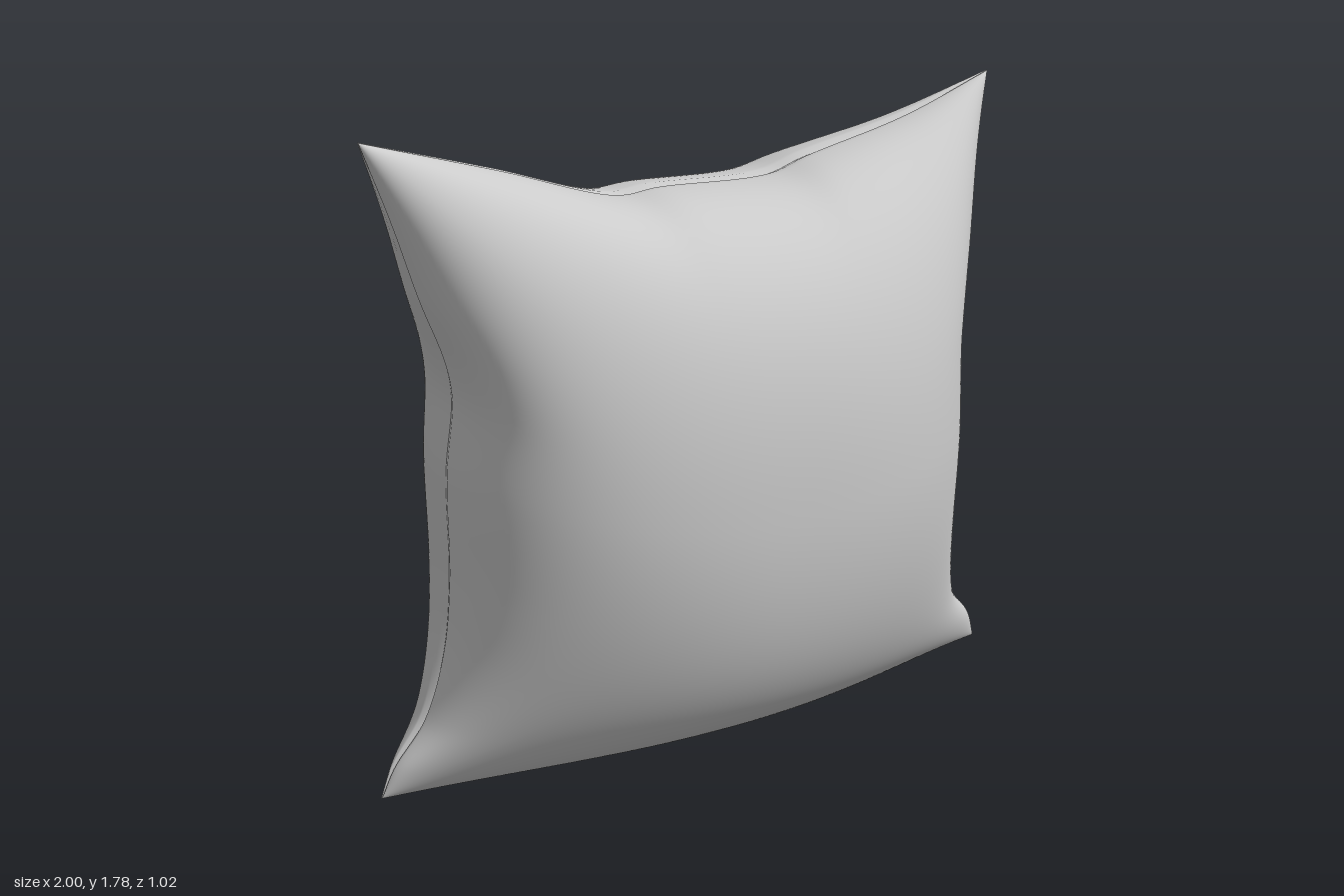
import * as THREE from 'three';

const SEGMENTS = 120;
const DEPTH = 0.51;

const curve = (points) => {
  const c = new THREE.CatmullRomCurve3(points.map(([x, y]) => new THREE.Vector3(x, y, 0)), false, 'centripetal');
  c.arcLengthDivisions = 400;
  return c;
};

const bottomLeft = [-1, 0.015], bottomRight = [1, 0], topLeft = [-0.96, 1.775], topRight = [0.95, 1.785];
const bottomEdge = curve([bottomLeft, [-0.5, 0.012], [0, 0.01], [0.5, 0.006], bottomRight]);

// Seam outline with its puckers
const seam = {
  bottom: bottomEdge,
  top: curve([topLeft, [-0.6, 1.67], [-0.27, 1.57], [-0.15, 1.578], [0.2, 1.575], [0.32, 1.61], [0.65, 1.685], topRight]),
  lowX: curve([bottomLeft, [-0.96, 0.1], [-0.87, 0.22], [-0.81, 0.4], [-0.785, 0.6], [-0.78, 0.9],
    [-0.755, 1.1], [-0.77, 1.2], [-0.83, 1.37], [-0.89, 1.57], topLeft]),
  highX: curve([bottomRight, [0.96, 0.1], [0.85, 0.23], [0.795, 0.4], [0.765, 0.6], [0.76, 0.85],
    [0.73, 1.12], [0.75, 1.2], [0.82, 1.37], [0.88, 1.57], topRight]),
};

// Even outline that guides the stuffed middle
const body = {
  bottom: bottomEdge,
  top: curve([topLeft, [-0.5, 1.635], [0, 1.575], [0.5, 1.64], topRight]),
  lowX: curve([bottomLeft, [-0.84, 0.4], [-0.785, 0.85], [-0.83, 1.3], topLeft]),
  highX: curve([bottomRight, [0.83, 0.4], [0.77, 0.85], [0.82, 1.3], topRight]),
};

const mix = (a, b, t) => a.clone().lerp(b, t);

// Blend the four edges of an outline into a point inside it
function outlinePoint({ bottom, top, lowX, highX }, a, b) {
  const vertical = mix(bottom.getPointAt(a), top.getPointAt(a), b);
  const horizontal = mix(lowX.getPointAt(b), highX.getPointAt(b), a);
  const corners = mix(
    mix(bottom.getPointAt(0), bottom.getPointAt(1), a),
    mix(top.getPointAt(0), top.getPointAt(1), a), b);
  return vertical.add(horizontal).sub(corners);
}

// Stuffed profile: full in the middle, steep at the seam
const bulge = (t, power) => Math.pow(Math.max(0, 1 - Math.pow(Math.abs(t), power)), 0.418);

// Half thickness: leaner towards the bottom, pinched at the corners
function thickness(u, v) {
  const pinch = 1 - 0.55 * Math.pow(Math.abs(u * v), 1.8);
  return DEPTH * bulge(u, 2.4) * bulge(v, v < 0 ? 2.05 : 2.4) * pinch;
}

// Rows crowd towards the seam; the last one is tucked slightly inwards
const spread = (i) => {
  const s = (i / SEGMENTS) * 2 - 1;
  const t = Math.sin(s * Math.PI / 2);
  return { t, inset: Math.abs(s) === 1 ? t * 0.988 : t };
};

// One fabric panel; side is +1 for the front and -1 for the back
function panel(name, side, material) {
  const positions = [], indices = [], row = SEGMENTS + 1;
  for (let j = 0; j <= SEGMENTS; j++) {
    for (let i = 0; i <= SEGMENTS; i++) {
      const u = spread(i), v = spread(j);
      const a = (u.inset + 1) / 2, b = (v.inset + 1) / 2;
      const nearSeam = Math.pow(Math.max(Math.abs(u.t), Math.abs(v.t)), 8);
      const p = mix(outlinePoint(body, a, b), outlinePoint(seam, a, b), nearSeam);
      positions.push(p.x, p.y, side * thickness(u.t, v.t));
      if (i < SEGMENTS && j < SEGMENTS) {
        const k = j * row + i, l = k + 1, m = l + row, n = k + row;
        if (side > 0) indices.push(k, l, m, k, m, n);
        else indices.push(k, m, l, k, n, m);
      }
    }
  }
  const geometry = new THREE.BufferGeometry();
  geometry.setAttribute('position', new THREE.Float32BufferAttribute(positions, 3));
  geometry.setIndex(indices);
  geometry.computeVertexNormals();
  const mesh = new THREE.Mesh(geometry, material);
  mesh.name = name;
  return mesh;
}

export function createModel() {
  const group = new THREE.Group();
  group.name = 'pillow';
  const fabric = new THREE.MeshStandardMaterial({ color: 0xcccccc, side: THREE.DoubleSide });
  group.add(panel('frontPanel', 1, fabric), panel('backPanel', -1, fabric));
  return group;
}
